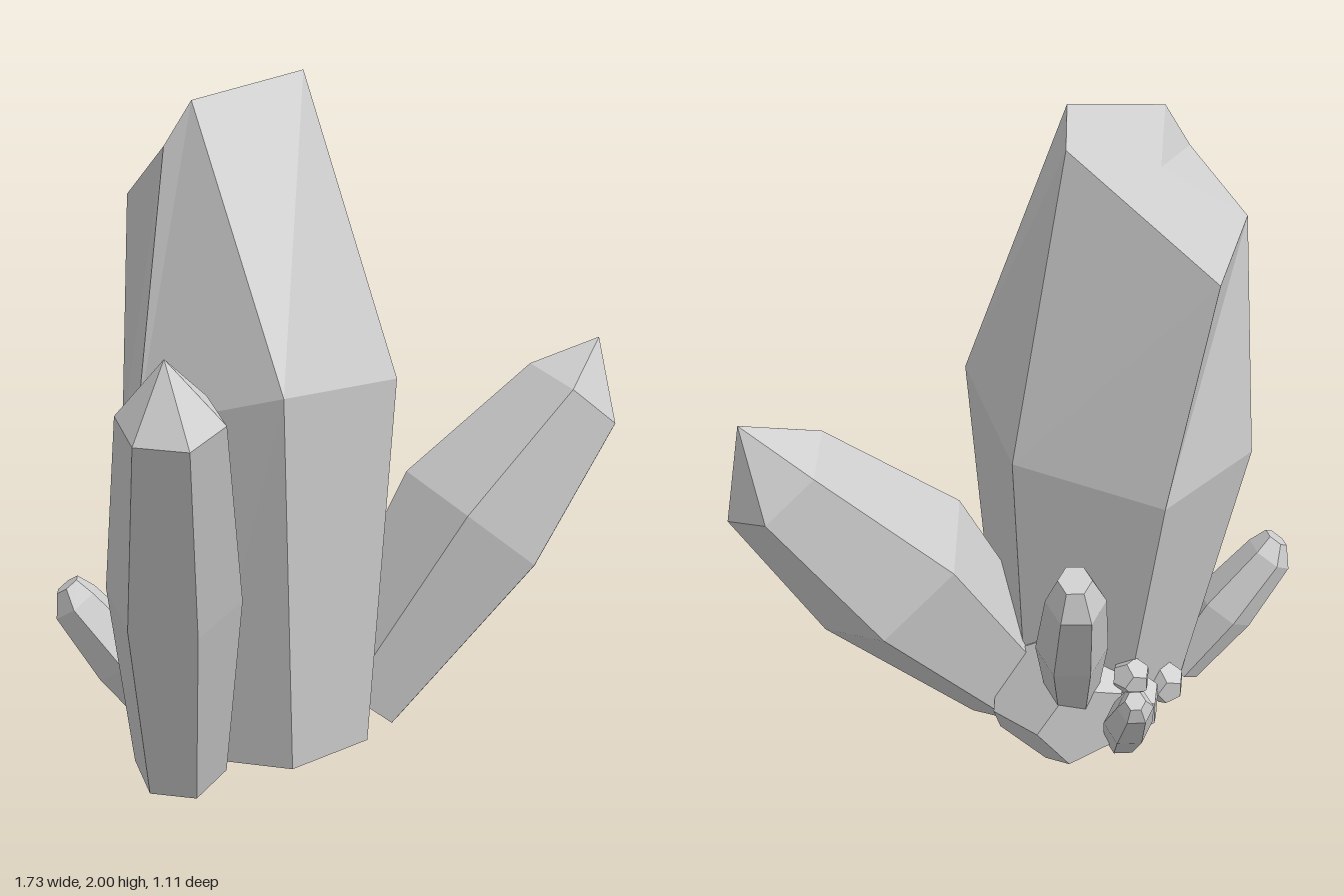
import * as THREE from 'three';

const V = (p) => new THREE.Vector3(...p);
const material = new THREE.MeshStandardMaterial({ color: 0xcccccc, flatShading: true });

// Skins a stack of rings (counter-clockwise seen from the tip) and closes both ends
function loft(name, rings, tip) {
  const pos = [];
  const tri = (...pts) => pts.forEach((p) => pos.push(p.x, p.y, p.z));
  const centre = (ring) => ring.reduce((s, p) => s.add(p), new THREE.Vector3()).divideScalar(ring.length);
  const n = rings[0].length;
  const last = rings[rings.length - 1];
  const bottom = centre(rings[0]);
  const top = tip || centre(last);
  for (let i = 0; i < n; i++) {
    const j = (i + 1) % n;
    for (let k = 0; k + 1 < rings.length; k++) {
      const a = rings[k], b = rings[k + 1];
      tri(a[i], a[j], b[j]);
      tri(a[i], b[j], b[i]);
    }
    tri(rings[0][j], rings[0][i], bottom);
    tri(last[i], last[j], top);
  }
  const geometry = new THREE.BufferGeometry();
  geometry.setAttribute('position', new THREE.Float32BufferAttribute(pos, 3));
  geometry.computeVertexNormals();
  const mesh = new THREE.Mesh(geometry, material);
  mesh.name = name;
  return mesh;
}

// Leaning six-sided crystal: stations are [centre, radius] from root to shoulder
function crystal(name, stations, tip, phase) {
  const first = V(stations[0][0]);
  const axis = V(stations[stations.length - 1][0]).sub(first).normalize();
  const u = new THREE.Vector3(0, 1, 0).cross(axis).normalize();
  const v = axis.clone().cross(u);
  const rings = stations.map(([c, r]) => Array.from({ length: 6 }, (_, i) => {
    const a = THREE.MathUtils.degToRad(phase + i * 60);
    return V(c).addScaledVector(u, r * Math.cos(a)).addScaledVector(v, r * Math.sin(a));
  }));
  return loft(name, rings, tip && V(tip));
}

// Horizontal hexagon whose height rises toward the front
function hexRing(x, y, z, r, slope) {
  return Array.from({ length: 6 }, (_, i) => {
    const a = (-120 + i * 60) * Math.PI / 180;
    const dz = -Math.sin(a) * r;
    return new THREE.Vector3(x + Math.cos(a) * r, y + dz * slope, z + dz);
  });
}

export function createModel() {
  const group = new THREE.Group();

  // Tall central crystal with a slanted cut top
  const cut = [[-0.30, 1.92, -0.10], [0.07, 2.0, -0.065], [0.165, 1.92, -0.14],
    [0.01, 1.61, -0.51], [-0.33, 1.66, -0.36], [-0.365, 1.80, -0.14]].map(V);
  group.add(loft('centralCrystal', [
    hexRing(-0.11, 0.1, 0.0, 0.29, 0.03),
    hexRing(-0.11, 1.07, -0.07, 0.415, 0.28),
    cut,
  ]));

  // Two large side crystals
  group.add(crystal('rightwardCrystal', [
    [[0.13, 0.19, 0.1], 0.17], [[0.46, 0.69, 0.255], 0.265], [[0.73, 1.05, 0.4], 0.175],
  ], [0.81, 1.225, 0.43], 30));
  group.add(crystal('leftwardCrystal', [
    [[-0.46, 0.1, 0.01], 0.13], [[-0.585, 0.67, 0.16], 0.18], [[-0.745, 1.19, 0.37], 0.135],
  ], [-0.76, 1.34, 0.37], -10));

  // Small crystals at the back
  group.add(crystal('backCrystalTall', [
    [[0.16, 0.25, -0.16], 0.075], [[0.32, 0.58, -0.29], 0.1],
    [[0.42, 0.83, -0.385], 0.08], [[0.43, 0.9, -0.39], 0.045],
  ], null, 0));
  group.add(crystal('backCrystalThin', [
    [[0.08, 0.11, -0.29], 0.055], [[0.2, 0.3, -0.4], 0.07],
    [[0.31, 0.475, -0.505], 0.05], [[0.325, 0.51, -0.515], 0.028],
  ], null, 0));
  group.add(crystal('backCrystalShort', [
    [[-0.31, 0.12, -0.21], 0.075], [[-0.42, 0.32, -0.3], 0.1],
    [[-0.53, 0.495, -0.385], 0.075], [[-0.55, 0.55, -0.395], 0.04],
  ], null, 0));

  // Faceted pebbles around the root
  const pebbles = [
    ['rootStone', 0.236, 0.115, 0.22, -0.09],
    ['pebbleLarge', 0.1, 0.02, 0.2, -0.27],
    ['pebbleMedium', 0.067, -0.14, 0.18, -0.28],
    ['pebbleSmall', 0.06, 0.07, 0.34, -0.31],
  ];
  for (const [name, r, x, y, z] of pebbles) {
    const stone = new THREE.Mesh(new THREE.DodecahedronGeometry(r), material);
    stone.name = name;
    stone.position.set(x, y, z);
    group.add(stone);
  }
  return group;
}
